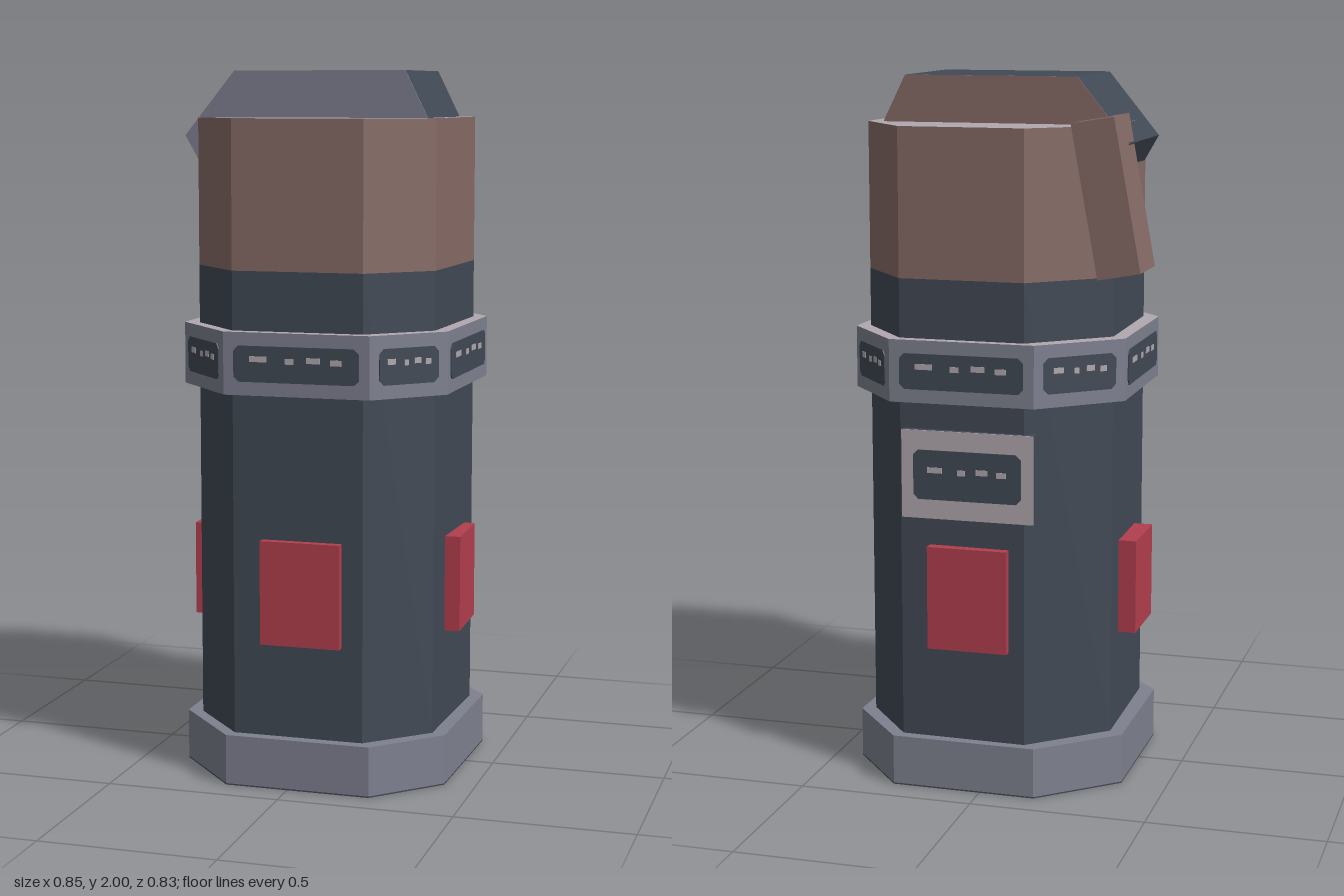
import * as THREE from 'three';

const mat = (name, color) => {
  const m = new THREE.MeshStandardMaterial({ color });
  m.name = name;
  return m;
};
const dark = mat('dark slate', 0x414955);
const brown = mat('brown', 0x866b66);
const grey = mat('steel grey', 0x7e808f);
const pale = mat('pale grey', 0xb0a8ae);
const red = mat('red', 0xb23e4d);

// Slightly uneven octagons as [x, z], running round from the front face
const BODY = [[-0.165, 0.38], [0.21, 0.38], [0.373, 0.225], [0.386, -0.187],
  [0.235, -0.378], [-0.125, -0.385], [-0.33, -0.2], [-0.325, 0.2]];
const BAND = [[-0.18, 0.413], [0.238, 0.413], [0.412, 0.238], [0.422, -0.208],
  [0.255, -0.41], [-0.16, -0.413], [-0.37, -0.225], [-0.37, 0.2]];

function addMesh(parent, name, geometry, material) {
  const mesh = new THREE.Mesh(geometry, material);
  mesh.name = name;
  parent.add(mesh);
  return mesh;
}

// Upright prism; caps and walls take separate materials
function prism(parent, name, outline, y0, y1, caps, walls) {
  const shape = new THREE.Shape(outline.map(([x, z]) => new THREE.Vector2(x, -z)));
  const geo = new THREE.ExtrudeGeometry(shape, { depth: y1 - y0, bevelEnabled: false });
  geo.rotateX(-Math.PI / 2).translate(0, y0, 0);
  return addMesh(parent, name, geo, [caps, walls]);
}

// Profile in x, y pulled from z0 to z1
function profile(parent, name, points, z0, z1, material) {
  const shape = new THREE.Shape(points.map(([x, y]) => new THREE.Vector2(x, y)));
  const geo = new THREE.ExtrudeGeometry(shape, { depth: z1 - z0, bevelEnabled: false });
  geo.translate(0, 0, z0);
  return addMesh(parent, name, geo, material);
}

function box(parent, name, w, h, d, x, y, z, material) {
  const mesh = addMesh(parent, name, new THREE.BoxGeometry(w, h, d), material);
  mesh.position.set(x, y, z);
  return mesh;
}

// Thin dark panel with cut corners and a row of pale dashes, facing +z
function markedPanel(parent, w, h, z) {
  const c = 0.014, a = w / 2, b = h / 2;
  profile(parent, 'darkPanel', [[-a + c, -b], [a - c, -b], [a, -b + c], [a, b - c],
    [a - c, b], [-a + c, b], [-a, b - c], [-a, -b + c]], z, z + 0.003, dark);
  [[-0.3, 0.14], [-0.05, 0.07], [0.14, 0.11], [0.32, 0.09]].forEach(([t, k], i) =>
    box(parent, 'dash', w * k, 0.016, 0.002, w * t, i % 2 ? 0.01 : 0.014, z + 0.0035, pale));
}

export function createModel() {
  const model = new THREE.Group();
  model.name = 'canister';

  // Base, body and collar
  prism(model, 'sole', BAND, 0, 0.004, dark, dark);
  prism(model, 'base', BAND, 0.004, 0.145, grey, grey);
  prism(model, 'lowerBody', BODY, 0.14, 1.455, dark, dark);
  prism(model, 'upperBody', BODY, 1.455, 1.87, pale, brown);

  // Band with a marked panel on every side
  prism(model, 'band', BAND, 1.115, 1.286, grey, grey);
  prism(model, 'bandTop', BAND, 1.286, 1.29, pale, grey);
  BAND.forEach(([x0, z0], i) => {
    const [x1, z1] = BAND[(i + 1) % BAND.length];
    const side = new THREE.Group();
    side.name = 'bandPanel';
    side.position.set((x0 + x1) / 2, 1.203, (z0 + z1) / 2);
    side.rotation.y = Math.atan2(z0 - z1, x1 - x0);
    markedPanel(side, Math.hypot(x1 - x0, z1 - z0) - 0.06, 0.1, 0);
    model.add(side);
  });

  // Red pads on the four main faces
  box(model, 'frontPad', 0.23, 0.295, 0.04, 0.035, 0.56, 0.385, red);
  box(model, 'backPad', 0.23, 0.295, 0.04, 0.035, 0.56, -0.39, red);
  box(model, 'rightPad', 0.05, 0.275, 0.21, 0.393, 0.552, 0, red).rotation.y = 0.03;
  box(model, 'leftPad', 0.06, 0.272, 0.21, -0.35, 0.55, -0.005, red);

  // Marked plate on the back
  const plate = new THREE.Group();
  plate.name = 'backPlate';
  plate.position.set(0.035, 0.912, -0.38);
  plate.rotation.y = Math.PI;
  box(plate, 'plateBody', 0.38, 0.25, 0.034, 0, 0, 0, dark);
  box(plate, 'plateFace', 0.38, 0.25, 0.003, 0, 0, 0.0185, pale);
  markedPanel(plate, 0.31, 0.14, 0.02);
  model.add(plate);

  // Lid block, overhanging on one side, with its own front and back faces
  const lid = [[-0.22, 2], [-0.367, 1.82], [-0.31, 1.72], [0.26, 1.72], [0.342, 1.865], [0.275, 2]];
  profile(model, 'lid', lid, -0.187, 0.187, dark);
  profile(model, 'lidFront', lid, 0.187, 0.191, grey);
  profile(model, 'lidBack', lid, -0.191, -0.187, brown);

  // Slanted lever beside the lid
  profile(model, 'lever', [[-0.35, 1.9], [-0.427, 1.48], [-0.307, 1.458], [-0.23, 1.88]],
    -0.3, -0.12, brown);
  return model;
}
